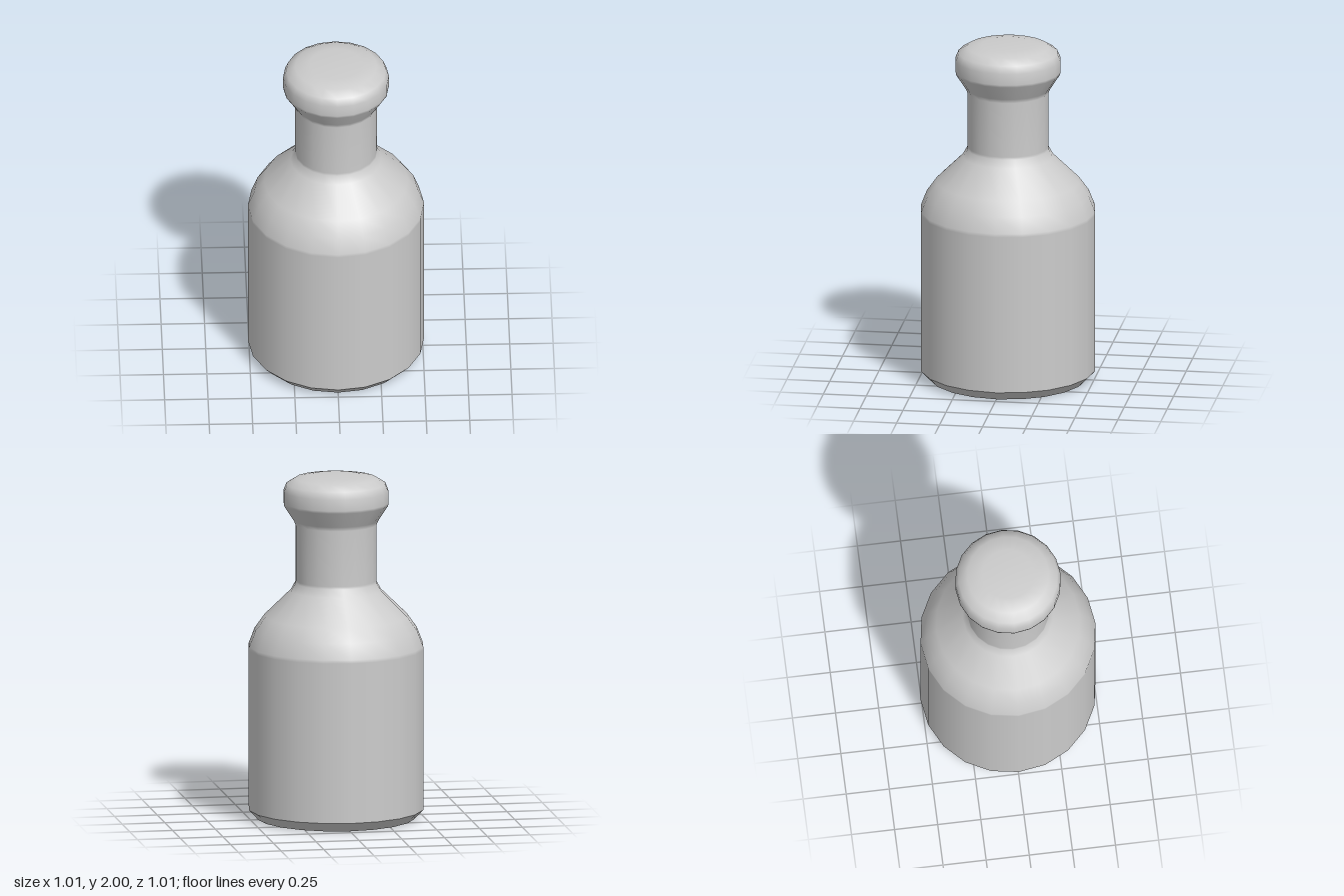
import * as THREE from 'three';

const SIDES = 20;
const material = new THREE.MeshStandardMaterial({ color: 0xcccccc });

// Turn a bottom-to-top profile of [radius, height] pairs around the y axis
function turned(name, profile) {
  const points = profile.map(([r, y]) => new THREE.Vector2(r, y));
  const mesh = new THREE.Mesh(new THREE.LatheGeometry(points, SIDES), material);
  mesh.name = name;
  return mesh;
}

export function createModel() {
  const group = new THREE.Group();
  group.name = 'bottle';

  // Flat underside and bevelled foot, kept separate for hard edges
  group.add(turned('underside', [[0, 0], [0.455, 0]]));
  group.add(turned('footBevel', [[0.455, 0], [0.507, 0.055]]));

  // Smooth shell: body, rounded shoulder, neck, flared lip and domed cap
  group.add(turned('bottleShell', [
    [0.507, 0.055], [0.507, 0.99], [0.507, 1.01],
    [0.472, 1.1], [0.415, 1.18], [0.262, 1.33],
    [0.237, 1.375], [0.235, 1.39],
    [0.235, 1.715], [0.245, 1.74], [0.303, 1.83],
    [0.305, 1.845], [0.305, 1.91], [0.287, 1.953],
    [0.235, 1.985], [0.15, 2], [0, 2],
  ]));

  return group;
}
